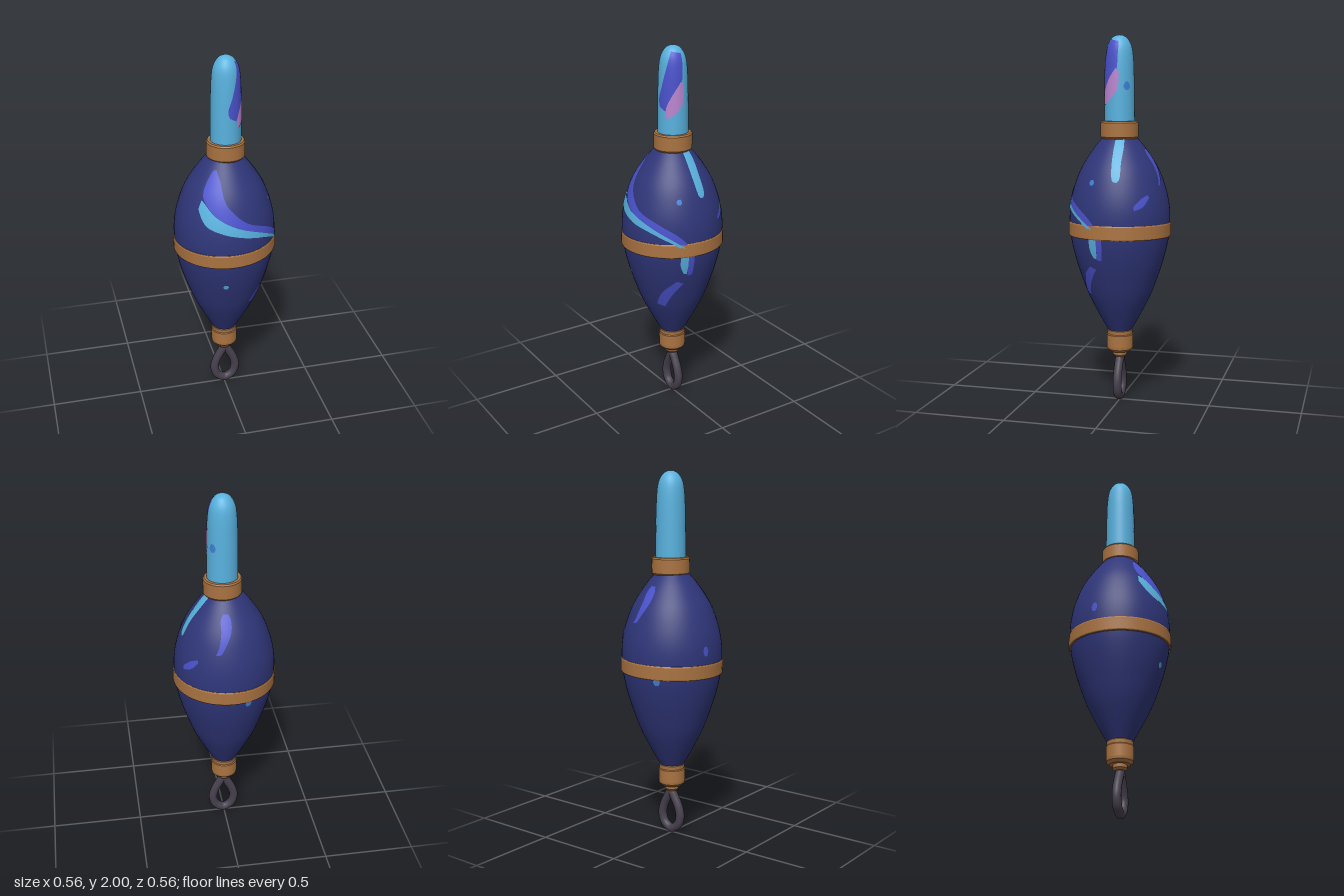
import * as THREE from 'three';

const paint = (name, color, side = THREE.FrontSide) => {
  const m = new THREE.MeshStandardMaterial({ color, side });
  m.name = name;
  return m;
};

const v2 = (pts) => pts.map(([a, b]) => new THREE.Vector2(a, b));
const smooth = (pts, n) => new THREE.SplineCurve(v2(pts)).getPoints(n);

// Radius of a turned profile at height y
function radiusAt(profile, y) {
  for (let i = 1; i < profile.length; i++) {
    const a = profile[i - 1], b = profile[i];
    if (y <= b.y) {
      const t = THREE.MathUtils.clamp((y - a.y) / (b.y - a.y || 1), 0, 1);
      return a.x + (b.x - a.x) * t;
    }
  }
  return profile[profile.length - 1].x;
}

// Painted patch between two edge curves of [angle in degrees, height], hugging a turned profile
function patchGeometry(profile, edgeA, edgeB, lift) {
  const nu = 32, nv = 10, pos = [], idx = [];
  const a = smooth(edgeA, nu), b = smooth(edgeB, nu);
  for (let i = 0; i <= nu; i++) {
    for (let j = 0; j <= nv; j++) {
      const p = a[i].clone().lerp(b[i], j / nv);
      const r = radiusAt(profile, p.y) + lift, t = THREE.MathUtils.degToRad(p.x);
      pos.push(r * Math.sin(t), p.y, r * Math.cos(t));
      if (i < nu && j < nv) {
        const k = i * (nv + 1) + j;
        idx.push(k, k + 1, k + nv + 1, k + 1, k + nv + 2, k + nv + 1);
      }
    }
  }
  const g = new THREE.BufferGeometry();
  g.setAttribute('position', new THREE.Float32BufferAttribute(pos, 3));
  g.setIndex(idx);
  g.computeVertexNormals();
  return g;
}

export function createModel() {
  const model = new THREE.Group();
  model.name = 'fishingFloat';
  const navy = paint('navy', 0x2f3679);
  const gold = paint('bronze', 0xaa7341);
  const iron = paint('darkIron', 0x46404d);
  const sky = paint('skyBlue', 0x58b1de, THREE.DoubleSide);
  const indigo = paint('indigo', 0x4a52cc, THREE.DoubleSide);
  const azure = paint('azure', 0x3f80d6, THREE.DoubleSide);
  const pink = paint('orchid', 0xba86d0, THREE.DoubleSide);

  const add = (name, geometry, material, parent = model) => {
    const m = new THREE.Mesh(geometry, material);
    m.name = name;
    parent.add(m);
    return m;
  };

  // Turned part with crisp edges: each profile segment is shaded on its own
  const turned = (name, pts, parent = model) => {
    const g = new THREE.Group();
    g.name = name;
    for (let i = 1; i < pts.length; i++) {
      add(name + 'Face' + i, new THREE.LatheGeometry(v2([pts[i - 1], pts[i]]), 48), gold, g);
    }
    parent.add(g);
    return g;
  };

  // Body
  const body = smooth([[0.06, 0.39], [0.12, 0.5], [0.17, 0.6], [0.208, 0.7], [0.24, 0.8], [0.263, 0.9],
    [0.273, 1.0], [0.268, 1.1], [0.245, 1.2], [0.205, 1.3], [0.14, 1.4], [0.09, 1.46]], 66);
  add('body', new THREE.LatheGeometry(body, 64), navy);

  // Waist band, slightly tilted
  const band = turned('waistBand', [[0.255, -0.039], [0.275, -0.038], [0.278, -0.032], [0.278, 0.032], [0.275, 0.038], [0.255, 0.039]]);
  band.position.y = 0.966;
  band.rotation.z = 0.025;

  // Tip and its collar, a touch off centre
  const top = new THREE.Group();
  top.name = 'top';
  top.position.x = 0.008;
  model.add(top);
  turned('collar', [[0.07, 1.45], [0.095, 1.453], [0.102, 1.462], [0.102, 1.538], [0.096, 1.546], [0.07, 1.547]], top);
  const tip = smooth([[0.082, 1.5], [0.081, 1.6], [0.079, 1.75], [0.075, 1.87], [0.065, 1.94], [0.042, 1.982], [0.018, 1.997], [0, 2]], 48);
  add('tip', new THREE.LatheGeometry(tip, 48), sky, top);

  // Bottom cap and neck
  turned('bottomCap', [[0, 0.28], [0.055, 0.28], [0.071, 0.295], [0.073, 0.31], [0.073, 0.375],
    [0.069, 0.38], [0.07, 0.4], [0.062, 0.408], [0, 0.408]]);
  turned('neck', [[0, 0.246], [0.028, 0.248], [0.038, 0.26], [0.038, 0.275], [0.03, 0.29]]);

  // Teardrop line eye
  const loop = [[0, 0.24], [0.025, 0.205], [0.052, 0.15], [0.061, 0.1], [0.045, 0.05], [0, 0.024],
    [-0.045, 0.05], [-0.061, 0.1], [-0.052, 0.15], [-0.025, 0.205]];
  const path = new THREE.CatmullRomCurve3(loop.map(([x, y]) => new THREE.Vector3(x + 0.004, y, 0)), true);
  add('lineEye', new THREE.TubeGeometry(path, 72, 0.024, 14, true), iron);

  // Painted strokes on the body
  const stroke = (name, mat, a, b, lift = 0.003) => add(name, patchGeometry(body, a, b, lift), mat);
  stroke('swirlIndigo', indigo,
    [[-32, 1.425], [-21, 1.38], [-17, 1.34], [-11, 1.28], [-1, 1.23], [15, 1.17], [40, 1.12], [63, 1.06], [77, 0.995]],
    [[-40, 1.42], [-46, 1.37], [-46, 1.31], [-36, 1.26], [-20, 1.205], [2, 1.155], [29, 1.1], [54, 1.035], [72, 0.99]]);
  stroke('swirlBlue', sky,
    [[-46, 1.285], [-38, 1.265], [-22, 1.21], [2, 1.155], [29, 1.105], [54, 1.045], [72, 0.99]],
    [[-48, 1.24], [-35, 1.165], [-16, 1.13], [8, 1.10], [32, 1.07], [54, 1.025], [66, 0.99]], 0.0045);
  stroke('sideStreak', sky,
    [[91, 1.455], [91, 1.35], [93, 1.26], [96, 1.237]],
    [[118, 1.455], [107, 1.35], [104, 1.26], [100, 1.235]]);
  stroke('backStreak', indigo,
    [[169, 1.4], [165, 1.37], [167, 1.32], [165, 1.25], [161, 1.21]],
    [[180, 1.4], [184, 1.37], [182, 1.32], [173, 1.25], [168, 1.215]]);
  stroke('backDash', indigo,
    [[119, 1.11], [129, 1.15], [139, 1.17]], [[120, 1.09], [131, 1.11], [140, 1.155]]);
  stroke('lowerDash', indigo,
    [[31, 0.625], [43, 0.71], [63, 0.785]], [[45, 0.61], [57, 0.69], [72, 0.77]]);
  stroke('tailBlue', sky, [[67, 0.94], [67, 0.88], [71, 0.835]], [[76, 0.94], [76, 0.88], [75, 0.83]]);
  stroke('tailIndigo', indigo, [[76, 0.94], [76, 0.88], [76, 0.82]], [[83, 0.94], [83, 0.88], [82, 0.825]]);

  // Small painted dots: [name, material, angle, height, half angle, half height]
  for (const [name, mat, t, y, dt, dy] of [
    ['frontDot', sky, -11, 0.79, 3.5, 0.014],
    ['sideDot', azure, 66, 1.23, 3.5, 0.014],
    ['leftDot', indigo, -102, 1.07, 3.5, 0.025],
    ['backDot', azure, -160, 0.915, 4, 0.02],
  ]) {
    stroke(name, mat, [[t - dt * 0.5, y + dy], [t - dt, y], [t - dt * 0.5, y - dy]],
      [[t + dt * 0.5, y + dy], [t + dt, y], [t + dt * 0.5, y - dy]]);
  }

  // Painted strokes on the tip
  const tipStroke = (name, mat, a, b, lift = 0.002) => add(name, patchGeometry(tip, a, b, lift), mat, top);
  tipStroke('tipIndigo', indigo,
    [[45, 1.975], [32, 1.9], [10, 1.79], [-4, 1.73], [2, 1.69]],
    [[100, 1.965], [97, 1.9], [90, 1.81], [55, 1.74], [28, 1.67]]);
  tipStroke('tipPink', pink,
    [[88, 1.825], [55, 1.755], [33, 1.69], [30, 1.64]],
    [[101, 1.81], [97, 1.72], [70, 1.665], [40, 1.63]], 0.0035);
  tipStroke('tipDot', azure, [[127, 1.755], [119, 1.73], [127, 1.71]], [[138, 1.755], [147, 1.73], [138, 1.71]]);

  return model;
}
